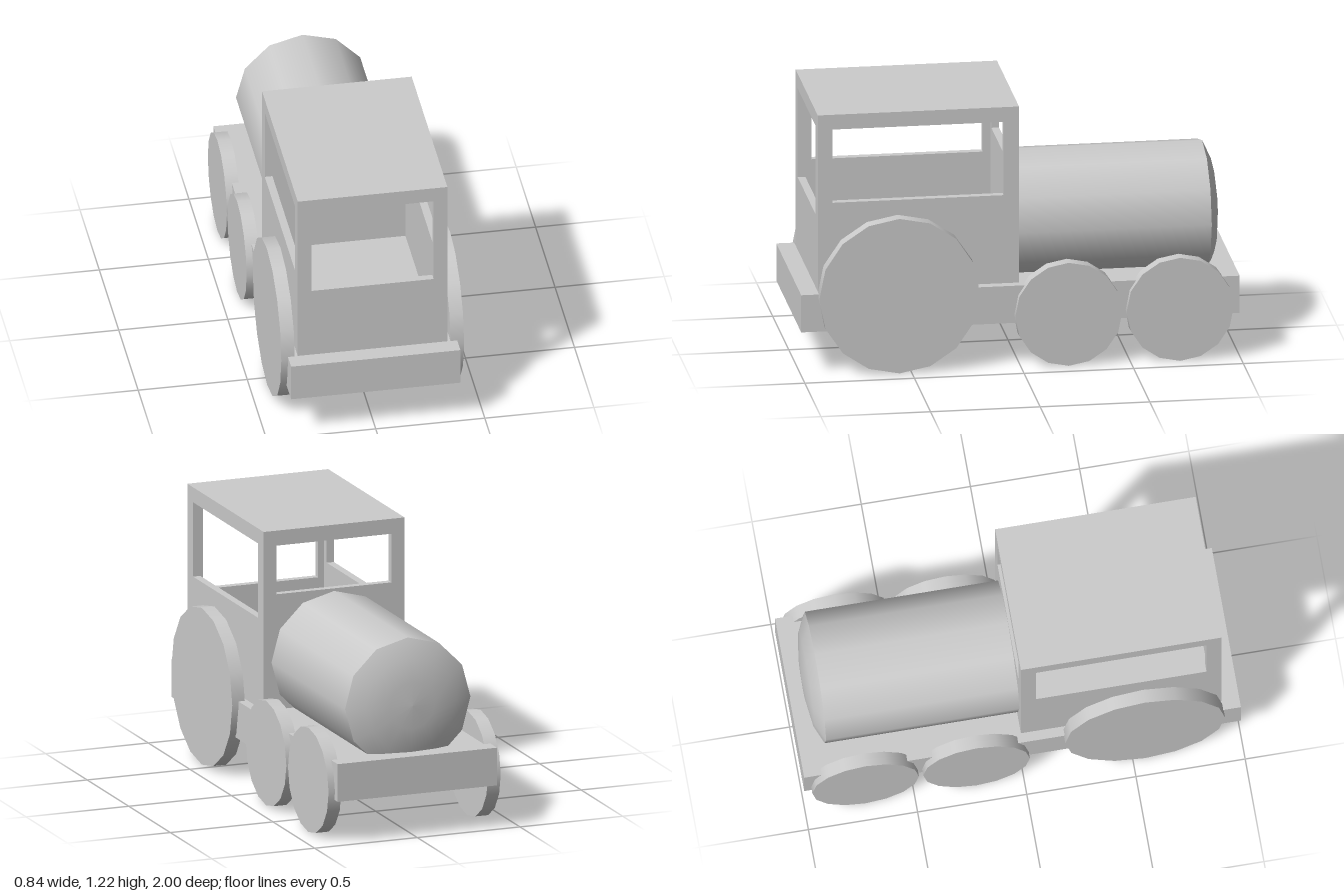
import * as THREE from 'three';

const grey = new THREE.MeshStandardMaterial({ color: 0xcccccc });
const greyThin = new THREE.MeshStandardMaterial({ color: 0xcccccc, side: THREE.DoubleSide });

function add(parent, name, geometry, material = grey) {
  const mesh = new THREE.Mesh(geometry, material);
  mesh.name = name;
  parent.add(mesh);
  return mesh;
}

// Rectangle traced as a shape or a hole
function rect(path, x0, x1, y0, y1) {
  path.moveTo(x0, y0);
  path.lineTo(x1, y0);
  path.lineTo(x1, y1);
  path.lineTo(x0, y1);
  path.closePath();
  return path;
}

// Hollow chassis: a deck with four thin walls, open underneath
function createChassis() {
  const g = new THREE.Group();
  g.name = 'chassis';
  const X = 0.388, bottom = 0.207, top = 0.383;
  const h = top - bottom, y = (top + bottom) / 2;
  const deck = add(g, 'deck', new THREE.PlaneGeometry(2 * X, 2), greyThin);
  deck.rotation.x = -Math.PI / 2;
  deck.position.y = top;
  for (const s of [-1, 1]) {
    const side = add(g, 'chassisSide', new THREE.PlaneGeometry(2, h), greyThin);
    side.rotation.y = s * Math.PI / 2;
    side.position.set(s * X, y, 0);
    const end = add(g, 'chassisEnd', new THREE.PlaneGeometry(2 * X, h), greyThin);
    end.rotation.y = s > 0 ? 0 : Math.PI;
    end.position.set(0, y, s);
  }
  return g;
}

// Cab: four windowed walls reaching down through the deck, and a roof
function createCab() {
  const g = new THREE.Group();
  g.name = 'cab';
  const X = 0.343, Z = 0.918, t = 0.035, baseY = 0.3, roofY = 1.18, topY = 1.217;

  function wall(name, outer, hole) {
    const shape = rect(new THREE.Shape(), ...outer);
    shape.holes.push(rect(new THREE.Path(), ...hole));
    return add(g, name, new THREE.ExtrudeGeometry(shape, { depth: t, bevelEnabled: false }));
  }

  const roof = add(g, 'roof', new THREE.BoxGeometry(2 * X, topY - roofY, Z));
  roof.position.set(0, (topY + roofY) / 2, Z / 2);

  // Side walls; shape x becomes -z
  for (const x of [-X, X - t]) {
    const side = wall('cabSideWall', [-Z, 0, baseY, roofY], [-0.85, -0.07, 0.80, 1.147]);
    side.rotation.y = Math.PI / 2;
    side.position.x = x;
  }

  // End walls, with a higher sill above the boiler
  for (const [name, z, sill] of [['cabFrontWall', Z - t, 0.727], ['cabBackWall', 0, 0.92]]) {
    wall(name, [-X + t, X - t, baseY, roofY], [-0.28, 0.28, sill, 1.147]).position.z = z;
  }
  return g;
}

// Boiler: a barrel sunk into the deck, with a shallow domed end
function createBoiler() {
  const g = new THREE.Group();
  g.name = 'boiler';
  const R = 0.305, L = 0.885;
  add(g, 'boilerBarrel', new THREE.CylinderGeometry(R, R, L, 12, 1, true), greyThin).position.y = L / 2;
  const profile = [[R, L], [0.22, 0.924], [0.11, 0.941], [0, 0.946]];
  const points = profile.map(([r, y]) => new THREE.Vector2(r, y));
  add(g, 'boilerDome', new THREE.LatheGeometry(points, 12), greyThin);
  g.rotation.x = -Math.PI / 2;
  g.position.y = 0.603;
  return g;
}

function createWheels() {
  const g = new THREE.Group();
  g.name = 'wheels';
  const specs = [
    ['largeWheel', 0.366, 0.556],
    ['middleWheel', 0.244, -0.216],
    ['endWheel', 0.244, -0.724],
  ];
  for (const [name, r, z] of specs) {
    for (const s of [-1, 1]) {
      const wheel = add(g, name, new THREE.CylinderGeometry(r, r, 0.062, 16));
      wheel.rotation.z = Math.PI / 2;
      wheel.position.set(s * 0.388, r + 0.002, z);
    }
  }
  return g;
}

export function createModel() {
  const model = new THREE.Group();
  model.name = 'toyLocomotive';
  model.add(createChassis(), createCab(), createBoiler(), createWheels());
  return model;
}
